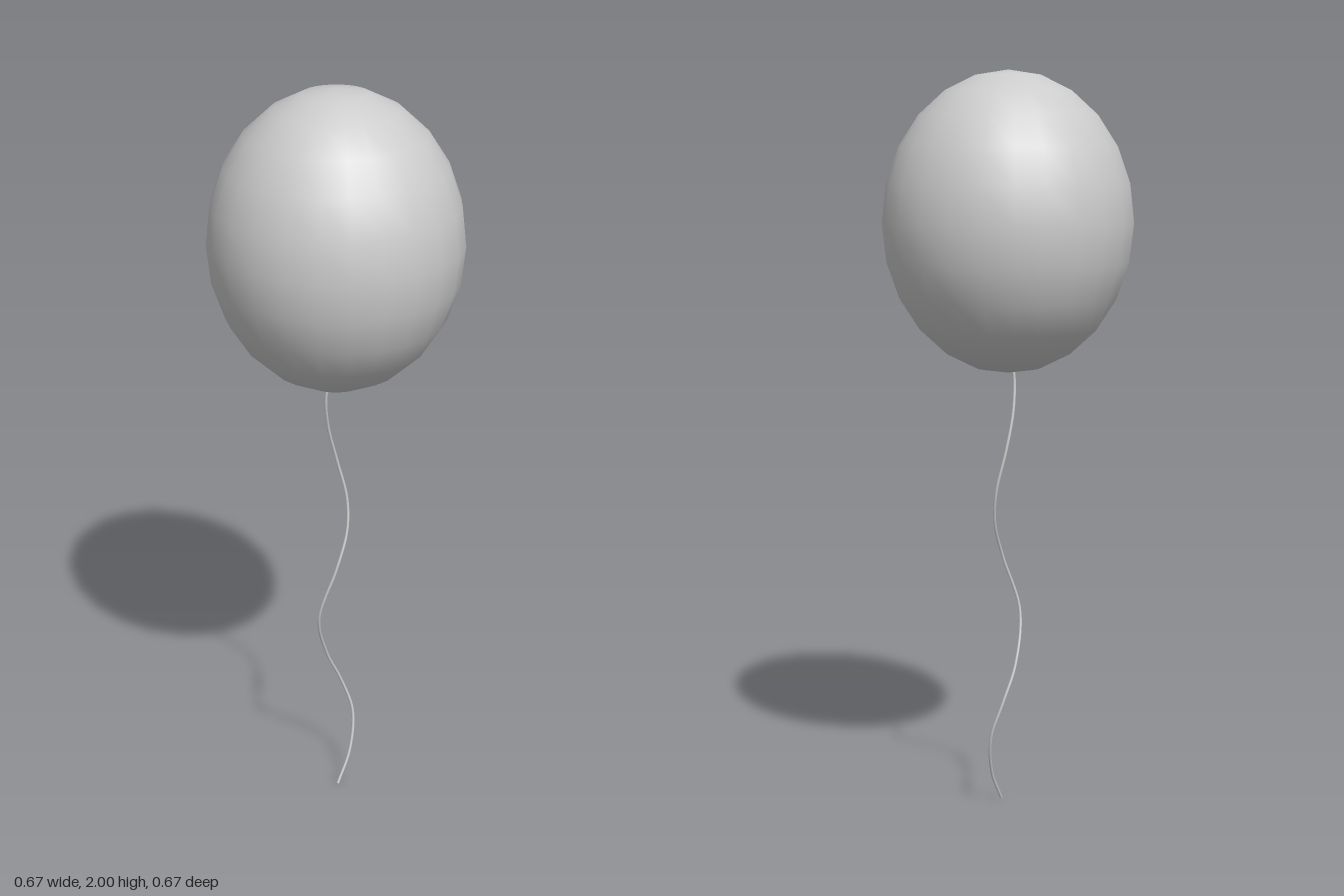
import * as THREE from 'three';

export function createModel() {
  const model = new THREE.Group();
  const material = new THREE.MeshStandardMaterial({ color: 0xcccccc });

  // Balloon: a sphere stretched upwards
  const balloonGeometry = new THREE.SphereGeometry(1, 24, 12);
  balloonGeometry.scale(0.333, 0.397, 0.333);
  const balloon = new THREE.Mesh(balloonGeometry, material);
  balloon.name = 'balloon';
  balloon.position.y = 1.603;
  model.add(balloon);

  // String: a thin tube that sways in both x and z
  const path = new THREE.CatmullRomCurve3([
    [-0.042, 0.003, 0.065],
    [0.007, 0.09, 0.055],
    [0.035, 0.2, 0.032],
    [0.012, 0.3, 0.008],
    [-0.035, 0.4, 0.005],
    [-0.08, 0.54, 0.03],
    [-0.04, 0.69, 0.056],
    [0.0, 0.79, 0.049],
    [0.012, 0.88, 0.033],
    [-0.008, 0.99, 0.016],
    [-0.036, 1.09, 0.016],
    [-0.052, 1.17, 0.025],
    [-0.052, 1.22, 0.03],
  ].map((p) => new THREE.Vector3(...p)));
  const string = new THREE.Mesh(new THREE.TubeGeometry(path, 72, 0.004, 8), material);
  string.name = 'string';
  model.add(string);

  // Small caps that close the string ends
  for (const t of [0, 1]) {
    const cap = new THREE.Mesh(new THREE.CircleGeometry(0.004, 8), material);
    cap.name = t ? 'stringTopCap' : 'stringBottomCap';
    cap.position.copy(path.getPointAt(t));
    const outward = path.getTangentAt(t).multiplyScalar(t ? 1 : -1);
    cap.quaternion.setFromUnitVectors(new THREE.Vector3(0, 0, 1), outward);
    model.add(cap);
  }

  return model;
}
